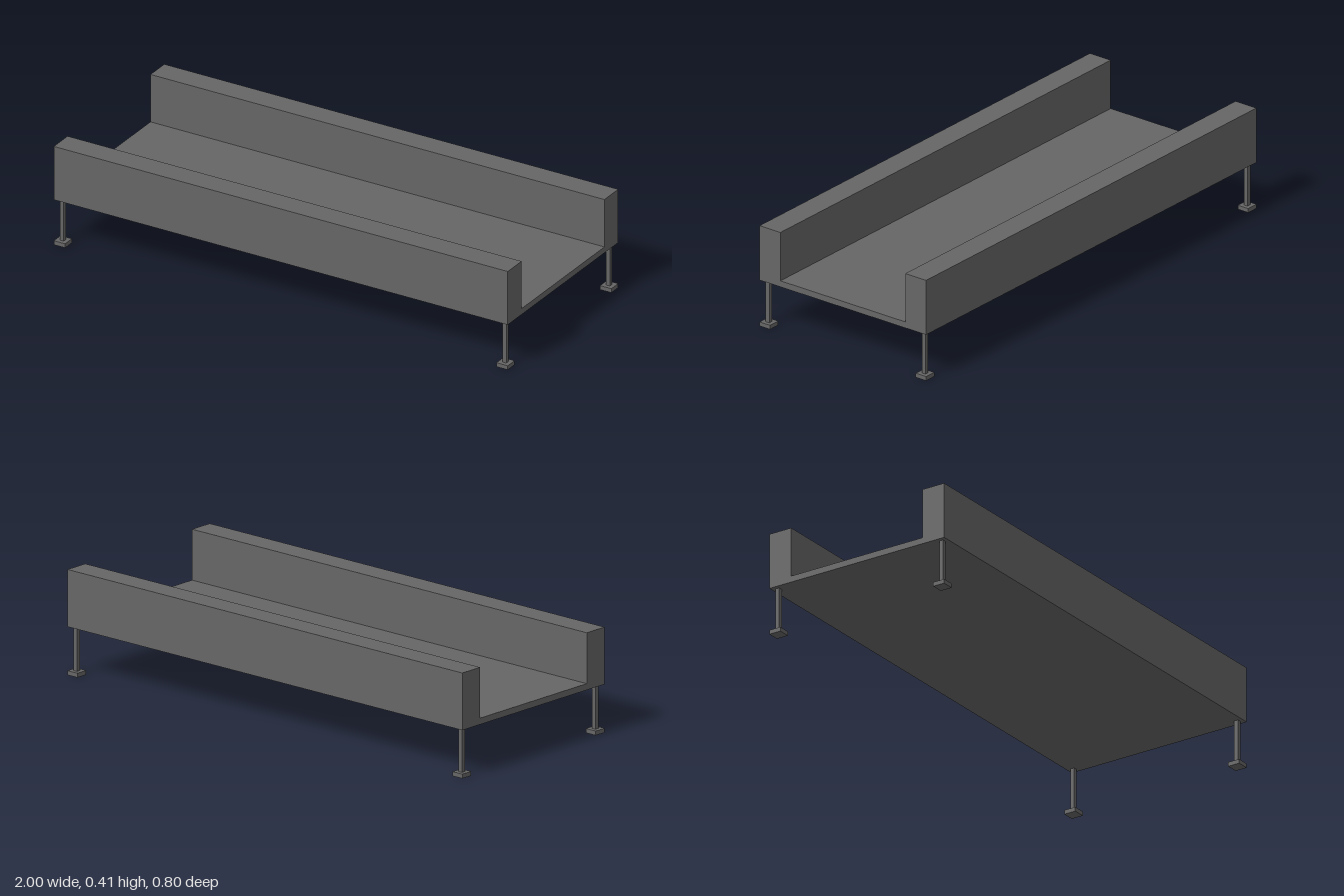
import * as THREE from 'three';

export function createModel() {
  const group = new THREE.Group();
  group.name = 'raisedTrough';
  const grey = new THREE.MeshStandardMaterial({ color: 0x666666 });
  grey.name = 'concrete grey';

  const addBox = (name, size, position, parent = group) => {
    const mesh = new THREE.Mesh(new THREE.BoxGeometry(...size), grey);
    mesh.name = name;
    mesh.position.set(...position);
    parent.add(mesh);
  };

  // U-shaped channel: deck and two side walls in one profile, run along x
  const base = 0.19, deck = 0.215, top = 0.415, outer = 0.4, inner = 0.3;
  const profile = new THREE.Shape([
    [-outer, base], [outer, base], [outer, top], [inner, top],
    [inner, deck], [-inner, deck], [-inner, top], [-outer, top],
  ].map(([z, y]) => new THREE.Vector2(z, y)));
  const geometry = new THREE.ExtrudeGeometry(profile, { depth: 2, bevelEnabled: false });
  geometry.translate(0, 0, -1);
  geometry.rotateY(Math.PI / 2);
  const channel = new THREE.Mesh(geometry, grey);
  channel.name = 'channel';
  group.add(channel);

  // Thin post on a square foot plate at each corner
  const foot = 0.05, footHeight = 0.017, post = 0.017;
  for (const sx of [-1, 1]) {
    for (const sz of [-1, 1]) {
      const leg = new THREE.Group();
      leg.name = (sz > 0 ? 'front' : 'back') + (sx > 0 ? 'Left' : 'Right') + 'Leg';
      leg.position.set(sx * (1 - foot / 2), 0, sz * (outer - foot / 2));
      addBox('footPlate', [foot, footHeight, foot], [0, footHeight / 2, 0], leg);
      addBox('post', [post, base - footHeight, post], [0, (base + footHeight) / 2, 0], leg);
      group.add(leg);
    }
  }
  return group;
}
